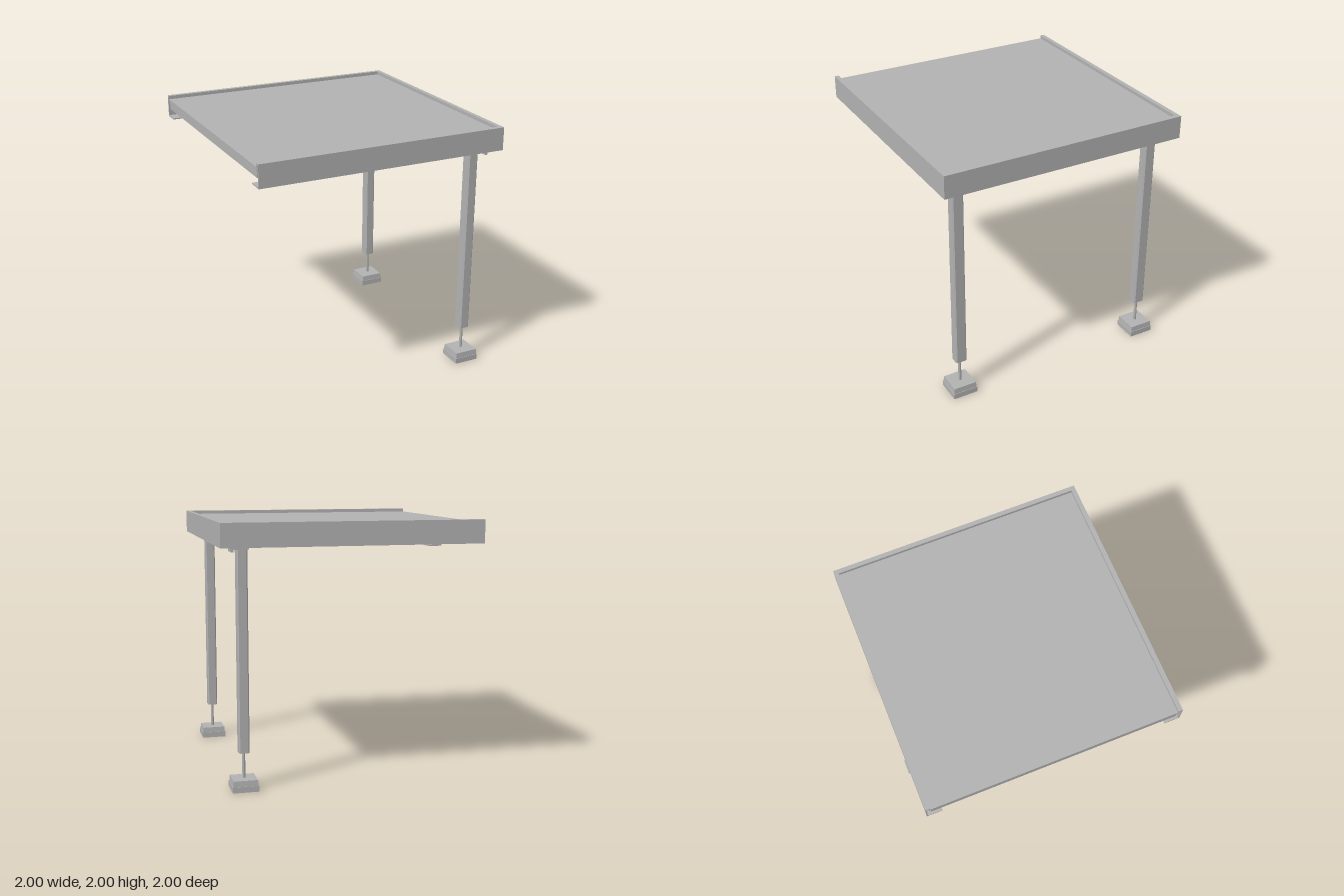
import * as THREE from 'three';

const grey = new THREE.MeshStandardMaterial({ color: 0xb2b2b2 });
grey.name = 'plain grey';

function add(parent, name, geometry) {
  const mesh = new THREE.Mesh(geometry, grey);
  mesh.name = name;
  parent.add(mesh);
  return mesh;
}

// Box given by its lower and upper limits on each axis
function box(parent, name, [x0, x1], [y0, y1], [z0, z1]) {
  const mesh = add(parent, name, new THREE.BoxGeometry(x1 - x0, y1 - y0, z1 - z0));
  mesh.position.set((x0 + x1) / 2, (y0 + y1) / 2, (z0 + z1) / 2);
  return mesh;
}

// Rectangle outline with cut corners
function cutRect(Type, w, d, c) {
  const a = w / 2, b = d / 2;
  return new Type([
    [-a + c, -b], [a - c, -b], [a, -b + c], [a, b - c],
    [a - c, b], [-a + c, b], [-a, b - c], [-a, -b + c],
  ].map(([x, y]) => new THREE.Vector2(x, y)));
}

// Open channel: outer web, bottom flange and top lip, running along z with the web at x = out
function channelShape(out) {
  const p = [[0, 1.82], [0, 2], [0.035, 2], [0.035, 1.955], [0.025, 1.955], [0.025, 1.985],
    [0.01, 1.985], [0.01, 1.83], [0.12, 1.83], [0.12, 1.82]];
  return new THREE.Shape(p.map(([x, y]) => new THREE.Vector2(out - x, y)));
}

function channel(parent, name, out, length) {
  const geometry = new THREE.ExtrudeGeometry(channelShape(out), { depth: length, bevelEnabled: false });
  geometry.translate(0, 0, -length / 2);
  return add(parent, name, geometry);
}

function createLeg(z) {
  const leg = new THREE.Group();
  leg.name = z > 0 ? 'frontLeg' : 'backLeg';
  leg.position.set(0.825, 0, z);

  // Hollow post
  const outline = cutRect(THREE.Shape, 0.08, 0.09, 0.009);
  outline.holes.push(cutRect(THREE.Path, 0.064, 0.074, 0.006));
  const post = new THREE.ExtrudeGeometry(outline, { depth: 1.52, bevelEnabled: false });
  post.rotateX(-Math.PI / 2);
  add(leg, 'post', post).position.y = 0.285;
  box(leg, 'postPlug', [-0.033, 0.033], [0.3, 0.315], [-0.038, 0.038]);

  // Adjustable foot
  const rod = add(leg, 'footRod', new THREE.CylinderGeometry(0.012, 0.012, 0.24, 12));
  rod.position.y = 0.2;
  box(leg, 'footBase', [-0.1, 0.1], [0, 0.045], [-0.1, 0.1]);
  const cap = new THREE.CylinderGeometry(0.092 * Math.SQRT2, 0.096 * Math.SQRT2, 0.043, 4);
  cap.rotateY(Math.PI / 4);
  add(leg, 'footCap', cap.toNonIndexed()).position.y = 0.0665;
  cap.dispose();
  leg.getObjectByName('footCap').geometry.computeVertexNormals();

  // Mounting plate under the frame and its side tab
  box(leg, 'mountPlate', [-0.05, 0.06], [1.8, 1.822], [-0.055, 0.055]);
  box(leg, 'mountTab', [0.058, 0.078], [1.78, 1.825], [-0.02, 0.11]);
  return leg;
}

export function createModel() {
  const model = new THREE.Group();
  model.name = 'platform';

  // Deck with the joists below it
  box(model, 'deck', [-1, 0.967], [1.955, 1.973], [-0.96, 0.967]);
  for (const [name, x] of [['middleJoist', 0], ['edgeJoist', -0.975]]) {
    box(model, name, [x - 0.02, x + 0.02], [1.89, 1.955], [-0.95, 0.96]);
  }

  // Channel frame on three sides
  channel(model, 'sideRail', 1, 1.99).position.z = 0.005;
  channel(model, 'frontRail', 1, 2).rotation.y = -Math.PI / 2;
  channel(model, 'backRail', 0.99, 2).rotation.y = Math.PI / 2;

  // Corner gussets, legs and feet
  for (const s of [1, -1]) {
    const triangle = new THREE.Shape([[0.97, s * 0.97], [0.62, s * 0.97], [0.97, s * 0.62]]
      .map(([x, z]) => new THREE.Vector2(x, -z)));
    const gusset = new THREE.ExtrudeGeometry(triangle, { depth: 0.01, bevelEnabled: false });
    gusset.rotateX(-Math.PI / 2);
    add(model, 'cornerGusset', gusset).position.y = 1.828;
    model.add(createLeg(s * 0.83));
  }

  // Small plate below the open end of the back rail
  box(model, 'joiningPlate', [-0.65, -0.55], [1.81, 1.822], [-1, -0.88]);
  return model;
}
